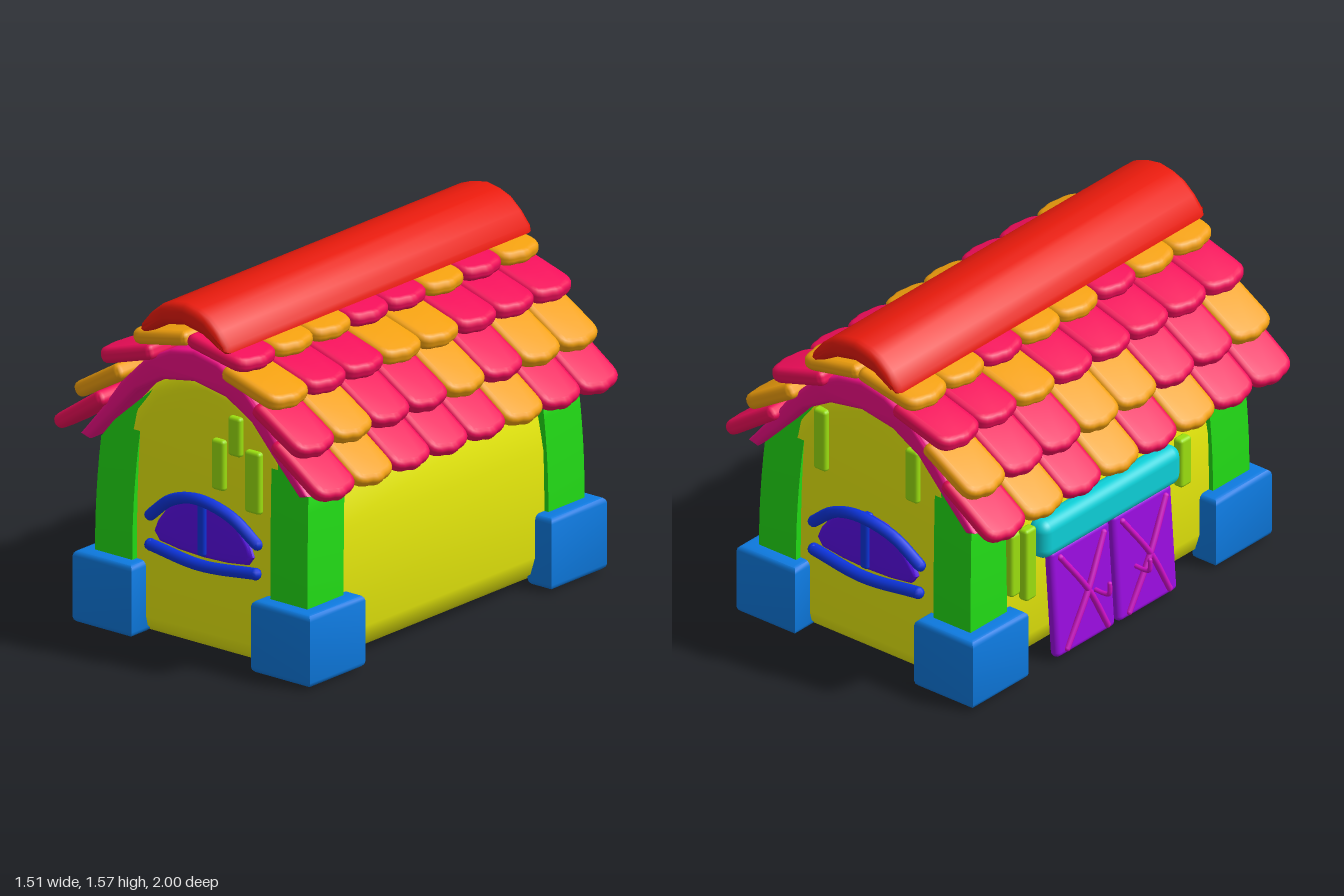
import * as THREE from 'three';
import { toCreasedNormals } from 'three/addons/utils/BufferGeometryUtils.js';
import { RoundedBoxGeometry } from 'three/addons/geometries/RoundedBoxGeometry.js';

const mat = (color) => new THREE.MeshStandardMaterial({ color });
const M = {
  wall: mat(0xe9ec0c), post: mat(0x22dd16), foot: mat(0x0d7ae0), roof: mat(0xf20d86),
  pink: mat(0xf20d5a), orange: mat(0xf2a00d), ridge: mat(0xe81a0c), frame: mat(0x0d35e0),
  pane: mat(0x5a0de8), plank: mat(0x9be010), door: mat(0x9a0de0), beam: mat(0xd010c8), awning: mat(0x0dd0d8),
};

function mesh(name, geo, material, parent) {
  const m = new THREE.Mesh(geo, material);
  m.name = name;
  parent.add(m);
  return m;
}

const shapeOf = (pts) => new THREE.Shape(pts.map(([x, y]) => new THREE.Vector2(x, y)));

// Bevelled slab whose outline and total depth stay as given, centred on z = 0
function slab(shape, depth, bevel, steps = 1) {
  const g = new THREE.ExtrudeGeometry(shape, {
    depth: depth - 2 * bevel, bevelThickness: bevel, bevelSize: bevel, bevelOffset: -bevel,
    bevelSegments: 3, curveSegments: 5, steps,
  });
  g.translate(0, 0, bevel - depth / 2);
  return g;
}
const smooth = (g, a = 0.75) => toCreasedNormals(g, a);

// Half profile (x >= 0, listed from the middle outwards) mirrored to a full open line
const mirrored = (pts) => [...pts.slice(1).reverse().map(([x, y]) => [-x, y]), ...pts];
// Closed arch from its outer and inner half profiles
const archShape = (outer, inner) => shapeOf([...mirrored(outer), ...mirrored(inner).reverse()].reverse());

// Smooth curved rod with round ends
function rod(name, pts, r, material, parent) {
  const curve = new THREE.CatmullRomCurve3(pts.map((p) => new THREE.Vector3(...p)));
  const g = new THREE.Group();
  g.name = name;
  mesh(name + 'Bar', new THREE.TubeGeometry(curve, 20, r, 8), material, g);
  for (const t of [0, 1])
    mesh(name + 'End', new THREE.SphereGeometry(r, 8, 6), material, g).position.copy(curve.getPoint(t));
  parent.add(g);
}

function plank(x, y0, y1, w, z, parent) {
  mesh('wallPlank', new RoundedBoxGeometry(w, y1 - y0, 0.05, 2, 0.015), M.plank, parent)
    .position.set(x, (y0 + y1) / 2, z);
}

// Corner bracket with an L plan, standing from y0 to y1
function corner(outX, outZ, inX, inZ, t, y0, y1, bevel, steps) {
  const g = slab(shapeOf([
    [inX, -outZ], [outX, -outZ], [outX, -inZ], [outX - t, -inZ], [outX - t, -outZ + t], [inX, -outZ + t],
  ]), y1 - y0, bevel, steps);
  g.rotateX(-Math.PI / 2);
  g.translate(0, (y0 + y1) / 2, 0);
  return g;
}

function addWindow(parent, side) {
  const w = new THREE.Group();
  w.name = side > 0 ? 'frontWindow' : 'backWindow';
  w.position.set(0.022, 0, 0);
  w.scale.z = side;
  const pane = archShape(
    [[0, 0.68], [0.1, 0.665], [0.19, 0.61], [0.25, 0.53], [0.27, 0.48]],
    [[0, 0.42], [0.13, 0.425], [0.24, 0.44]]);
  mesh('windowPane', smooth(slab(pane, 0.08, 0.02)), M.pane, w).position.z = 0.855;
  rod('windowArch', [[-0.29, 0.545, 0.885], [-0.16, 0.645, 0.905], [0, 0.69, 0.925], [0.16, 0.645, 0.905],
    [0.29, 0.545, 0.885]], 0.026, M.frame, w);
  rod('windowSill', [[-0.285, 0.415, 0.89], [0, 0.392, 0.905], [0.285, 0.415, 0.89]], 0.027, M.frame, w);
  mesh('windowMullion', new RoundedBoxGeometry(0.045, 0.26, 0.05, 2, 0.015), M.frame, w).position.set(0, 0.56, 0.885);
  parent.add(w);
}

// Roof tile: x runs down the slope from 0 to len, scalloped at the lower end
function tileGeometry(len, t) {
  const h = 0.125, a = 0.03, r = 0.085, s = new THREE.Shape();
  s.moveTo(a, -h);
  s.lineTo(len - r, -h);
  s.quadraticCurveTo(len - 0.015, -h, len - 0.012, -h + r);
  s.quadraticCurveTo(len + 0.008, 0, len - 0.012, h - r);
  s.quadraticCurveTo(len - 0.015, h, len - r, h);
  s.lineTo(a, h);
  s.quadraticCurveTo(0, h, 0, h - a);
  s.lineTo(0, -h + a);
  s.quadraticCurveTo(0, -h, a, -h);
  const g = slab(s, t, 0.028);
  g.rotateX(-Math.PI / 2);
  return smooth(g, 0.9);
}

function addRoof(parent) {
  const roof = new THREE.Group();
  roof.name = 'roof';
  const under = archShape(
    [[0, 1.35], [0.13, 1.325], [0.27, 1.25], [0.4, 1.12], [0.5, 0.985], [0.62, 0.84]],
    [[0, 1.21], [0.17, 1.18], [0.31, 1.1], [0.42, 0.98], [0.57, 0.825]]);
  mesh('roofArch', smooth(slab(under, 1.88, 0.02)), M.roof, roof).position.x = 0.01;
  const cap = archShape(
    [[0, 1.57], [0.07, 1.558], [0.13, 1.535], [0.19, 1.485], [0.235, 1.43], [0.242, 1.4]],
    [[0, 1.47], [0.1, 1.45], [0.17, 1.41], [0.22, 1.39]]);
  mesh('ridgeCap', smooth(slab(cap, 2, 0.035)), M.ridge, roof);

  // Rows from eave to ridge: centre line, thickness, tile colours from front to back (+x, then -x)
  const rows = [
    [0.46, 1.045, 0.75, 0.845, 0.065, 'popppopp', 'ppopopop'],
    [0.36, 1.185, 0.64, 1.015, 0.07, 'poppopoo', 'oppooppo'],
    [0.19, 1.305, 0.505, 1.21, 0.07, 'oppooppp', 'pppppopp'],
    [0, 1.405, 0.33, 1.34, 0.065, 'pooppopo', 'oopoopoo'],
  ];
  for (const side of [1, -1]) {
    const slope = new THREE.Group();
    slope.name = side > 0 ? 'leftTiles' : 'rightTiles';
    slope.scale.x = side;
    for (const [x0, y0, x1, y1, t, left, right] of rows) {
      const geo = tileGeometry(Math.hypot(x1 - x0, y1 - y0), t);
      [...(side > 0 ? left : right)].forEach((c, i) => {
        const tile = mesh('roofTile', geo, c === 'p' ? M.pink : M.orange, slope);
        tile.position.set(x0, y0, 0.855 - i * 0.2443);
        tile.rotation.z = Math.atan2(y1 - y0, x1 - x0);
      });
    }
    roof.add(slope);
  }
  parent.add(roof);
}

function addDoors(parent) {
  const wall = new THREE.Group();
  wall.name = 'doorSide';
  wall.rotation.y = -Math.PI / 2;
  wall.position.set(-0.55, 0, -0.03);
  const doors = new THREE.Group();
  doors.name = 'doubleDoor';
  doors.position.set(0, 0.27, 0.035);
  doors.rotation.x = -0.07;
  for (const s of [-1, 1]) {
    const leaf = new THREE.Group();
    leaf.name = 'doorLeaf';
    leaf.position.x = s * 0.2;
    mesh('doorPanel', new RoundedBoxGeometry(0.38, 0.5, 0.05, 3, 0.024), M.door, leaf);
    for (const d of [-1, 1])
      rod('doorBrace', [[-0.13 * d, -0.22, 0.028], [0.01, 0, 0.04], [0.14 * d, 0.21, 0.028]], 0.014, M.beam, leaf);
    rod('doorHandle', [[-0.07 * s, -0.03, 0.02], [-0.07 * s, -0.035, 0.07], [-0.07 * s, -0.03, 0.1],
      [-0.07 * s, 0.0, 0.107], [-0.07 * s, 0.02, 0.107]], 0.01, M.beam, leaf);
    doors.add(leaf);
  }
  wall.add(doors);
  const awning = mesh('doorAwning', new RoundedBoxGeometry(0.9, 0.18, 0.11, 4, 0.05), M.awning, wall);
  awning.position.set(-0.01, 0.595, 0.01);
  plank(-0.6, 0.4, 0.7, 0.06, 0.005, wall);
  plank(-0.5, 0.34, 0.68, 0.07, 0.005, wall);
  plank(0.5, 0.45, 0.68, 0.07, 0.005, wall);
  parent.add(wall);
}

export function createModel() {
  const house = new THREE.Group();
  house.name = 'house';
  const shell = new THREE.Group();
  shell.name = 'walls';
  shell.position.set(0.025, 0, 0.005);

  // Walls: arched top, rounded lower edge
  const body = archShape(
    [[0, 1.24], [0.17, 1.21], [0.31, 1.12], [0.42, 1.0], [0.52, 0.85], [0.555, 0.6], [0.555, 0.14], [0.53, 0.06], [0.47, 0.015]],
    [[0, 0.003], [0.4, 0.003]]);
  mesh('wallBody', smooth(slab(body, 1.74, 0.08)), M.wall, shell);

  // Corner posts lean in and tuck under the roof
  const post = corner(0.577, 0.9, 0.375, 0.665, 0.12, 0.06, 1.1, 0.02, 12);
  const p = post.attributes.position;
  for (let i = 0; i < p.count; i++) {
    const y = p.getY(i), lean = Math.max(0, y - 0.35);
    p.setX(i, Math.min(p.getX(i) - 0.06 * lean * lean, 0.58 - 1.1 * Math.max(0, y - 0.84)));
    p.setZ(i, p.getZ(i) - 0.1 * lean * lean);
  }
  const postGeo = smooth(post);
  const footGeo = smooth(corner(0.645, 0.965, 0.325, 0.605, 0.13, 0.01, 0.33, 0.025, 1));
  for (const sx of [1, -1]) for (const sz of [1, -1]) {
    mesh('cornerPost', postGeo, M.post, shell).scale.set(sx, 1, sz);
    mesh('cornerFoot', footGeo, M.foot, shell).scale.set(sx, 1, sz);
  }
  house.add(shell);

  // Gable windows and loose planks
  addWindow(house, 1);
  addWindow(house, -1);
  plank(0.105, 0.74, 0.965, 0.07, 0.875, house);
  plank(0.195, 0.91, 1.085, 0.07, 0.875, house);
  plank(0.293, 0.68, 0.955, 0.085, 0.875, house);
  plank(0.28, 0.8, 1.09, 0.07, -0.865, house);
  plank(-0.22, 0.83, 1.08, 0.07, -0.865, house);

  addDoors(house);
  addRoof(house);
  return house;
}
